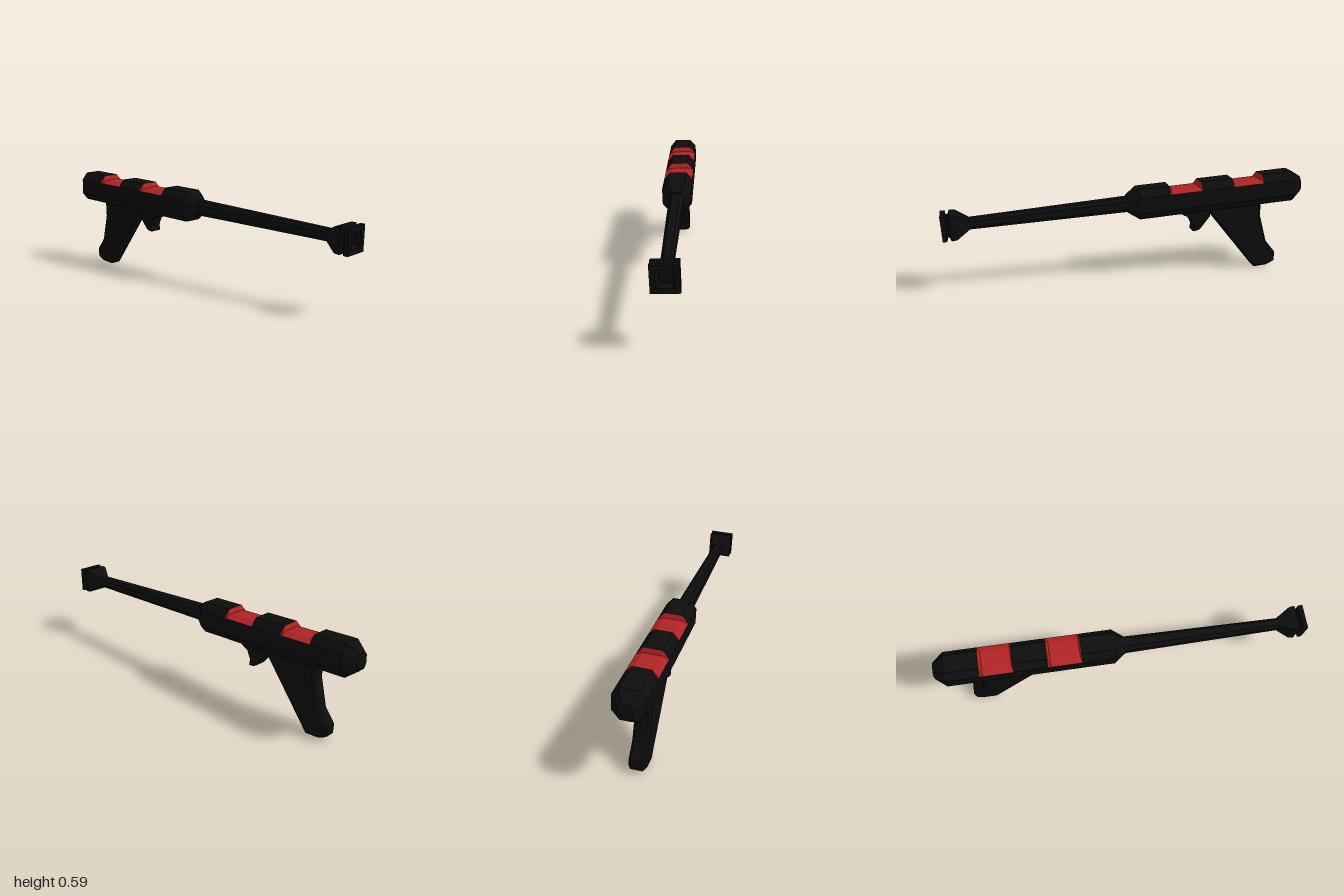
import * as THREE from 'three';

const black = new THREE.MeshStandardMaterial({ color: 0x0d0d0d });
black.name = 'black';
const red = new THREE.MeshStandardMaterial({ color: 0xb02325 });
red.name = 'red';

// Flat-faced skin over rings of [y, z] placed along x; keep(i, j) selects the quads
function loft(stations, ring, keep = () => true, caps = true) {
  const rings = stations.map((s) => ring(s).map(([y, z]) => [s[0], y, z]));
  const n = rings[0].length;
  const pos = [];
  const tri = (a, b, c) => pos.push(...a, ...b, ...c);
  for (let i = 0; i < rings.length - 1; i++) {
    for (let j = 0; j < n; j++) {
      if (!keep(i, j)) continue;
      const k = (j + 1) % n;
      const a = rings[i][j], b = rings[i][k], c = rings[i + 1][k], d = rings[i + 1][j];
      tri(a, d, b);
      tri(b, d, c);
    }
  }
  if (caps) {
    const last = rings[rings.length - 1];
    for (let k = 1; k < n - 1; k++) {
      tri(rings[0][0], rings[0][k], rings[0][k + 1]);
      tri(last[0], last[k + 1], last[k]);
    }
  }
  const g = new THREE.BufferGeometry();
  g.setAttribute('position', new THREE.Float32BufferAttribute(pos, 3));
  g.computeVertexNormals();
  return g;
}

// Eight-sided section: half width, top, side height, bottom
const octagon = ([, w, top, s, bottom]) => {
  const f = w * 0.58;
  return [[s, w], [top, f], [top, -f], [s, -w], [-s, -w], [-bottom, -f], [-bottom, f], [-s, w]];
};
const square = ([, h]) => [[-h, h], [h, h], [h, -h], [-h, -h]];

// Side profile given thickness in z, with chamfered edges
function slab(points, halfWidth, bevel) {
  const shape = new THREE.Shape(points.map(([x, y]) => new THREE.Vector2(x, y)));
  const depth = 2 * (halfWidth - bevel);
  const g = new THREE.ExtrudeGeometry(shape, {
    depth, bevelEnabled: true, bevelSegments: 1,
    bevelSize: bevel, bevelThickness: bevel, bevelOffset: -bevel,
  });
  return g.translate(0, 0, -depth / 2);
}

export function createModel() {
  const model = new THREE.Group();
  const blaster = new THREE.Group();
  blaster.name = 'blaster';
  blaster.rotation.set(0.04, -0.361, -0.056, 'YZX');
  blaster.position.set(0, 0.443, -0.004);
  model.add(blaster);
  const add = (name, geometry, material = black) => {
    const mesh = new THREE.Mesh(geometry, material);
    mesh.name = name;
    blaster.add(mesh);
    return mesh;
  };

  // Receiver: three raised blocks with two recesses along the top
  const full = (x, top = 0.0875) => [x, 0.085, top, 0.045, 0.0875];
  const low = 0.061;
  const body = [
    [-1.05, 0.04, 0.045, 0.024, 0.045],
    full(-0.99), full(-0.805), full(-0.79, low), full(-0.63, low), full(-0.622),
    full(-0.435), full(-0.42, low), full(-0.255, low), full(-0.246), full(-0.065),
    [0, 0.042, 0.046, 0.024, 0.046],
  ];
  const isRed = (i, j) => j < 3 && ((i >= 2 && i <= 4) || (i >= 6 && i <= 8));
  add('receiver', loft(body, octagon, (i, j) => !isRed(i, j)));
  add('redInlays', loft(body, octagon, isRed, false), red);

  // Long tapering barrel
  add('barrel', loft([
    [-0.02, 0.042, 0.042, 0.022, 0.042],
    [0.91, 0.03, 0.031, 0.016, 0.031],
  ], octagon));

  // Square muzzle: flare, groove, front flange and sunken bore
  add('muzzle', loft([
    [0.885, 0.03], [0.955, 0.068], [0.985, 0.07], [0.995, 0.052], [1.004, 0.052],
    [1.008, 0.07], [1.033, 0.07], [1.033, 0.042], [1.0, 0.03],
  ], square));

  // Raked grip with a flared heel
  add('grip', slab([
    [-0.757, -0.485], [-0.463, -0.07], [-0.805, -0.07], [-0.8, -0.168],
    [-0.834, -0.33], [-0.89, -0.408], [-0.885, -0.463], [-0.836, -0.483],
  ], 0.043, 0.012)).position.z = 0.01;

  // Trigger with a curved front edge
  add('trigger', slab([
    [-0.49, -0.07], [-0.485, -0.126], [-0.422, -0.197], [-0.4, -0.205], [-0.377, -0.204],
    [-0.383, -0.17], [-0.363, -0.123], [-0.305, -0.088], [-0.3, -0.07],
  ], 0.037, 0.003));

  return model;
}
